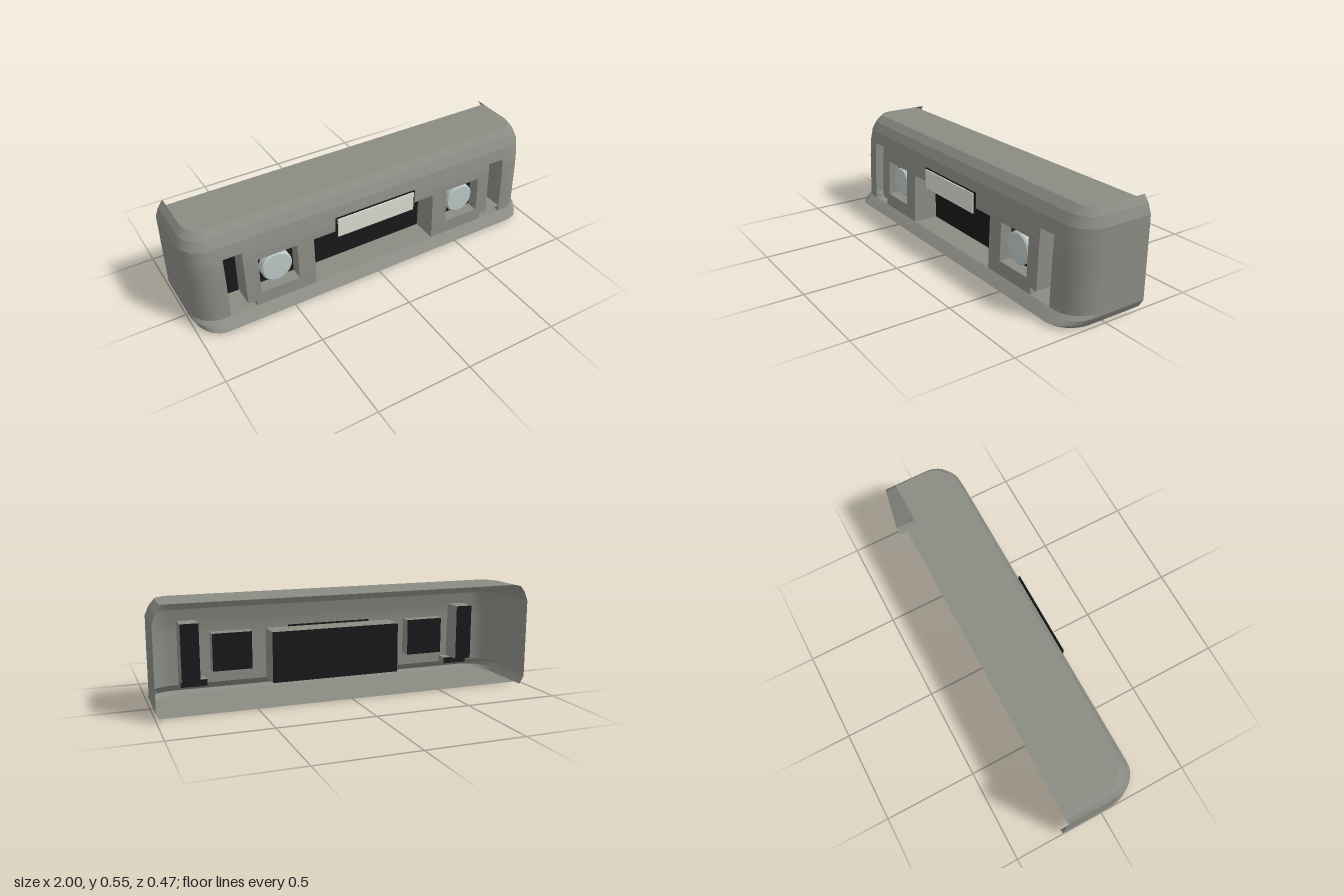
import * as THREE from 'three';
import { toCreasedNormals } from 'three/addons/utils/BufferGeometryUtils.js';

const paint = (color) => new THREE.MeshStandardMaterial({ color, side: THREE.DoubleSide });
const BACK = -0.233, PANEL_BACK = -0.182, CORNER_STEPS = 8;

// Shell profile, bottom to top: y, side x, front z, corner start z, corner width
const PROFILE = [
  [0, 0.975, 0.213, 0.07, 0.13],
  [0.018, 0.986, 0.235, 0.075, 0.12],
  [0.042, 1, 0.207, 0.06, 0.13],
  [0.06, 1, 0.183, 0.03, 0.13],
  [0.3, 1, 0.175, 0.03, 0.13],
  [0.4, 1, 0.168, 0.025, 0.13],
  [0.463, 1, 0.152, 0.02, 0.13],
  [0.51, 0.982, 0.125, 0.01, 0.11],
  [0.546, 0.955, 0.088, 0, 0.09],
];

// Openings in the front: name, x0, x1, y0, y1, depth position of the rear wall
const CENTRE = ['centreIntake', -0.358, 0.358, 0.06, 0.333, 0.045];
const SIDE = [
  ['LampRecess', 0.45, 0.66, 0.133, 0.333, 0.112],
  ['Slot', 0.735, 0.83, 0.095, 0.402, 0.065],
  ['SlotFoot', 0.69, 0.83, 0.06, 0.095, 0.12],
];
const OPENINGS = [CENTRE, ...SIDE.flatMap(([name, a, b, ...rest]) => [
  ['left' + name, a, b, ...rest], ['right' + name, -b, -a, ...rest],
])];

const sortUnique = (list) => [...new Set(list)].sort((a, b) => a - b);
const FRONT_X = sortUnique(OPENINGS.flatMap((o) => [o[1], o[2]]));
const ROW_Y = sortUnique([...PROFILE.map((p) => p[0]), ...OPENINGS.flatMap((o) => [o[3], o[4]])]);

// Profile values at any height
function sectionAt(y) {
  const i = Math.max(1, PROFILE.findIndex((p) => p[0] >= y));
  const a = PROFILE[i - 1], b = PROFILE[i];
  const t = (y - a[0]) / (b[0] - a[0]);
  return a.map((v, k) => v + (b[k] - v) * t);
}

// Plan outline of the shell at height y, from the right rear round to the left rear
function outline(y, back) {
  const [, xs, zf, zc, rx] = sectionAt(y);
  const half = [[xs, back]];
  for (let i = 0; i <= CORNER_STEPS; i++) {
    const a = (i / CORNER_STEPS) * Math.PI / 2;
    half.push([xs - rx + rx * Math.cos(a), zc + (zf - zc) * Math.sin(a)]);
  }
  const mirrored = half.map(([x, z]) => [-x, z]);
  return [...mirrored, ...FRONT_X.map((x) => [x, zf]), ...half.reverse()];
}

function surface(position, index) {
  const g = new THREE.BufferGeometry();
  g.setAttribute('position', new THREE.Float32BufferAttribute(position, 3));
  g.setIndex(index);
  return toCreasedNormals(g, 0.25);
}

// Swept skin, leaving out the cells that fall in an opening
function shellGeometry() {
  const rows = ROW_Y.map((y) => outline(y, BACK));
  const n = rows[0].length, position = [], index = [];
  rows.forEach((row, r) => row.forEach(([x, z]) => position.push(x, ROW_Y[r], z)));
  for (let r = 0; r < rows.length - 1; r++) {
    const cy = (ROW_Y[r] + ROW_Y[r + 1]) / 2;
    for (let c = 0; c < n - 1; c++) {
      const cx = (rows[r][c][0] + rows[r][c + 1][0]) / 2;
      const front = c > CORNER_STEPS && c < n - CORNER_STEPS - 2;
      if (front && OPENINGS.some(([, x0, x1, y0, y1]) => cx > x0 && cx < x1 && cy > y0 && cy < y1)) continue;
      const a = r * n + c, d = a + n;
      index.push(a, a + 1, d + 1, a, d + 1, d);
    }
  }
  return surface(position, index);
}

// Flat panel closing the shell at height y
function panelGeometry(y) {
  const shape = new THREE.Shape(outline(y, PANEL_BACK).map(([x, z]) => new THREE.Vector2(x, -z)));
  return new THREE.ShapeGeometry(shape).rotateX(-Math.PI / 2).translate(0, y, 0);
}

// Four walls of a recess, following the front skin and running back to zBack
function recessGeometry(x0, x1, y0, y1, zBack) {
  const heights = ROW_Y.filter((y) => y >= y0 && y <= y1);
  const points = [...heights.map((y) => [x1, y]), ...heights.reverse().map((y) => [x0, y])];
  const position = [], index = [];
  points.forEach(([x, y], i) => {
    const [x2, y2] = points[(i + 1) % points.length];
    const k = i * 4;
    position.push(x, y, sectionAt(y)[2], x2, y2, sectionAt(y2)[2], x2, y2, zBack, x, y, zBack);
    index.push(k, k + 2, k + 1, k, k + 3, k + 2);
  });
  return surface(position, index);
}

export function createModel() {
  const model = new THREE.Group();
  model.name = 'bumper';
  const body = paint(0x8a8c84), dark = paint(0x17191a), white = paint(0xdcdcd0), glass = paint(0xbcc8c6);

  const add = (name, geometry, material, x = 0, y = 0, z = 0) => {
    const mesh = new THREE.Mesh(geometry, material);
    mesh.name = name;
    mesh.position.set(x, y, z);
    model.add(mesh);
  };

  // Outer skin
  add('shell', shellGeometry(), body);
  add('topPanel', panelGeometry(0.546), body);
  add('bottomPanel', panelGeometry(0), body);

  // Intake, lamp recesses and side slots with dark rear walls
  for (const [name, x0, x1, y0, y1, zBack] of OPENINGS) {
    add(name + 'Walls', recessGeometry(x0, x1, y0, y1, zBack), body);
    add(name + 'Back', new THREE.PlaneGeometry(x1 - x0, y1 - y0), dark, (x0 + x1) / 2, (y0 + y1) / 2, zBack);
  }

  // Round lamps
  const lampProfile = [[0, 0], [0.083, 0], [0.083, 0.035], [0.076, 0.043], [0, 0.045]];
  for (const [side, s] of [['left', 1], ['right', -1]]) {
    const lamp = new THREE.LatheGeometry(lampProfile.map(([r, h]) => new THREE.Vector2(r, h)), 24);
    add(side + 'Lamp', toCreasedNormals(lamp.rotateX(Math.PI / 2), 0.5), glass, s * 0.555, 0.233, 0.114);
  }

  // Number plate with its dark holder
  add('plateHolder', new THREE.BoxGeometry(0.47, 0.117, 0.006), dark, 0, 0.356, 0.175);
  add('plate', new THREE.BoxGeometry(0.45, 0.106, 0.012), white, 0, 0.356, 0.179);
  return model;
}
